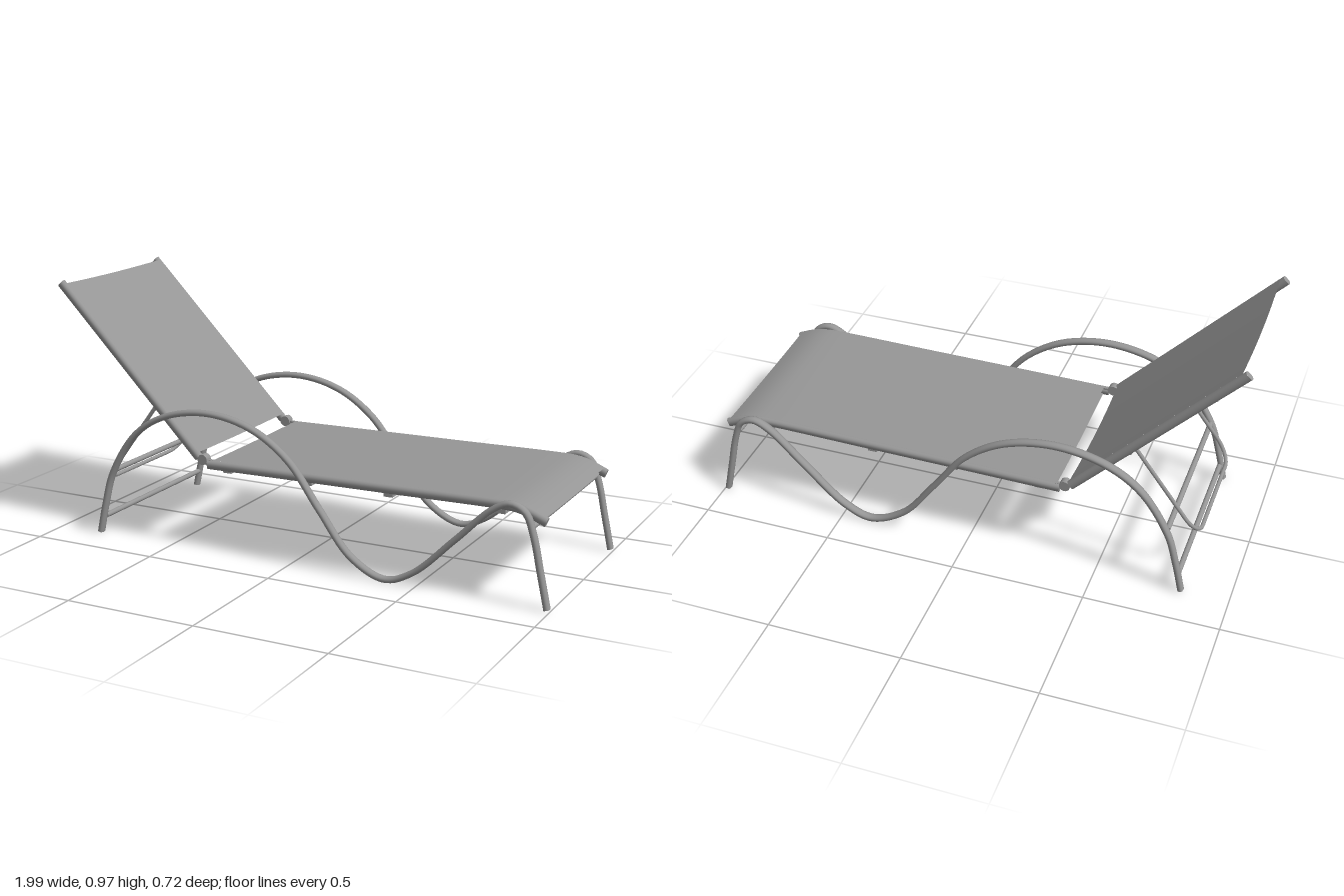
import * as THREE from 'three';
import { mergeGeometries } from 'three/addons/utils/BufferGeometryUtils.js';

const metal = new THREE.MeshStandardMaterial({ color: 0x969696 });
const cloth = new THREE.MeshStandardMaterial({ color: 0x969696, side: THREE.DoubleSide });

const spline = (pts) =>
  new THREE.CatmullRomCurve3(pts.map(([x, y, z = 0]) => new THREE.Vector3(x, y, z)));

// Tube with closed ends
function cappedTube(curve, radius, segments, sides) {
  const parts = [new THREE.TubeGeometry(curve, segments, radius, sides, false)];
  for (const t of [0, 1]) {
    const dir = curve.getTangent(t).multiplyScalar(t ? 1 : -1);
    const cap = new THREE.CircleGeometry(radius, sides);
    cap.applyQuaternion(new THREE.Quaternion().setFromUnitVectors(new THREE.Vector3(0, 0, 1), dir));
    const p = curve.getPoint(t);
    cap.translate(p.x, p.y, p.z);
    parts.push(cap);
  }
  return mergeGeometries(parts);
}

// Tube in the x-y plane whose section has flat sides at z = +-halfWidth
function flatSidedTube(curve, radius, segments, halfWidth) {
  const geo = cappedTube(curve, radius, segments, 20);
  const pos = geo.attributes.position;
  for (let i = 0; i < pos.count; i++) {
    pos.setZ(i, halfWidth * THREE.MathUtils.clamp((1.25 * pos.getZ(i)) / radius, -1, 1));
  }
  return geo;
}

// Sheet following a side curve, sagging between the rails
function sheet(curve, from, to, offset, halfWidth, sag) {
  const geo = new THREE.PlaneGeometry(1, 1, 40, 16);
  const pos = geo.attributes.position;
  for (let i = 0; i < pos.count; i++) {
    const t = from + (to - from) * (pos.getX(i) + 0.5);
    const v = -pos.getY(i) * 2;
    const p = curve.getPointAt(t);
    const d = curve.getTangentAt(t);
    const h = offset - sag * (1 - v * v);
    pos.setXYZ(i, p.x - d.y * h, p.y + d.x * h, v * halfWidth);
  }
  geo.computeVertexNormals();
  return geo;
}

export function createModel() {
  const model = new THREE.Group();
  const add = (name, geo, x = 0, y = 0, z = 0, material = metal) => {
    const mesh = new THREE.Mesh(geo, material);
    mesh.name = name;
    mesh.position.set(x, y, z);
    model.add(mesh);
  };

  // Side curves: wavy leg and armrest, seat rail, backrest rail
  const legCurve = spline([
    [-0.822, 0.006], [-0.795, 0.125], [-0.757, 0.25], [-0.65, 0.412], [-0.52, 0.495],
    [-0.335, 0.529], [-0.15, 0.493], [0, 0.395], [0.125, 0.232], [0.25, 0.075],
    [0.383, 0.012], [0.49, 0.052], [0.65, 0.2], [0.783, 0.328], [0.848, 0.358],
    [0.902, 0.334], [0.932, 0.26], [0.96, 0.135], [0.988, 0.006],
  ]);
  const seatCurve = spline([
    [-0.35, 0.328], [0, 0.333], [0.4, 0.338], [0.78, 0.343], [0.85, 0.341], [0.9, 0.33], [0.968, 0.302],
  ]);
  const backCurve = new THREE.LineCurve3(
    new THREE.Vector3(-0.982, 0.955, 0), new THREE.Vector3(-0.39, 0.35, 0));

  const legGeo = flatSidedTube(legCurve, 0.0115, 160, 0.015);
  const seatRailGeo = flatSidedTube(seatCurve, 0.0175, 60, 0.011);
  const backRailGeo = flatSidedTube(backCurve, 0.0175, 1, 0.011);
  const hingeGeo = new THREE.CylinderGeometry(0.02, 0.02, 0.03, 20).rotateX(Math.PI / 2);
  const linkGeo = new THREE.BoxGeometry(0.05, 0.02, 0.014);

  for (const s of [1, -1]) {
    const side = s > 0 ? 'left' : 'right';
    add(side + 'LegAndArm', legGeo, 0, 0, s * 0.347);
    add(side + 'SeatRail', seatRailGeo, 0, 0, s * 0.32);
    add(side + 'BackRail', backRailGeo, 0, 0, s * 0.32);
    add(side + 'Hinge', hingeGeo, -0.37, 0.345, s * 0.316);
    add(side + 'HingeLink', linkGeo, -0.355, 0.336, s * 0.316);
  }

  // Sling fabric, with a second layer under the seat
  add('seatFabric', sheet(seatCurve, 0.015, 0.988, 0.0175, 0.318, 0.002), 0, 0, 0, cloth);
  add('seatUnderFabric', sheet(seatCurve, 0.015, 0.985, -0.008, 0.318, 0.008), 0, 0, 0, cloth);
  add('backFabric', sheet(backCurve, 0.018, 0.985, 0.0175, 0.318, 0.008), 0, 0, 0, cloth);

  // Cross bars: [name, x, y, length, radius]
  const bars = [
    ['rearLowerBar', -0.806, 0.068, 0.67, 0.01],
    ['rearUpperBar', -0.755, 0.258, 0.67, 0.01],
    ['frontLegBar', 0.922, 0.284, 0.67, 0.01],
    ['backUpperBar', -0.878, 0.832, 0.63, 0.01],
    ['backLowerBar', -0.597, 0.543, 0.63, 0.01],
  ];
  for (const [name, x, y, length, r] of bars) {
    add(name, new THREE.CylinderGeometry(r, r, length, 14).rotateX(Math.PI / 2), x, y, 0);
  }

  // Flat slats under the seat
  const slatGeo = new THREE.BoxGeometry(0.035, 0.016, 0.63);
  for (const [x, y] of [[-0.272, 0.311], [0.06, 0.311], [0.38, 0.313], [0.8, 0.315]]) {
    add('seatSlat', slatGeo, x, y, 0);
  }

  // U-shaped backrest prop, laid out between its top and lowest points
  const top = new THREE.Vector3(-0.597, 0.53, 0);
  const low = new THREE.Vector3(-0.852, 0.186, 0);
  const at = (k, z) => new THREE.Vector3().lerpVectors(top, low, k).setZ(z);
  const prop = new THREE.CurvePath();
  prop.add(new THREE.LineCurve3(at(0, 0.255), at(0.8, 0.255)));
  prop.add(new THREE.CubicBezierCurve3(at(0.8, 0.255), at(0.91, 0.255), at(1, 0.225), at(1, 0.185)));
  prop.add(new THREE.LineCurve3(at(1, 0.185), at(1, -0.185)));
  prop.add(new THREE.CubicBezierCurve3(at(1, -0.185), at(1, -0.225), at(0.91, -0.255), at(0.8, -0.255)));
  prop.add(new THREE.LineCurve3(at(0.8, -0.255), at(0, -0.255)));
  add('backProp', cappedTube(prop, 0.0075, 120, 10));

  return model;
}
